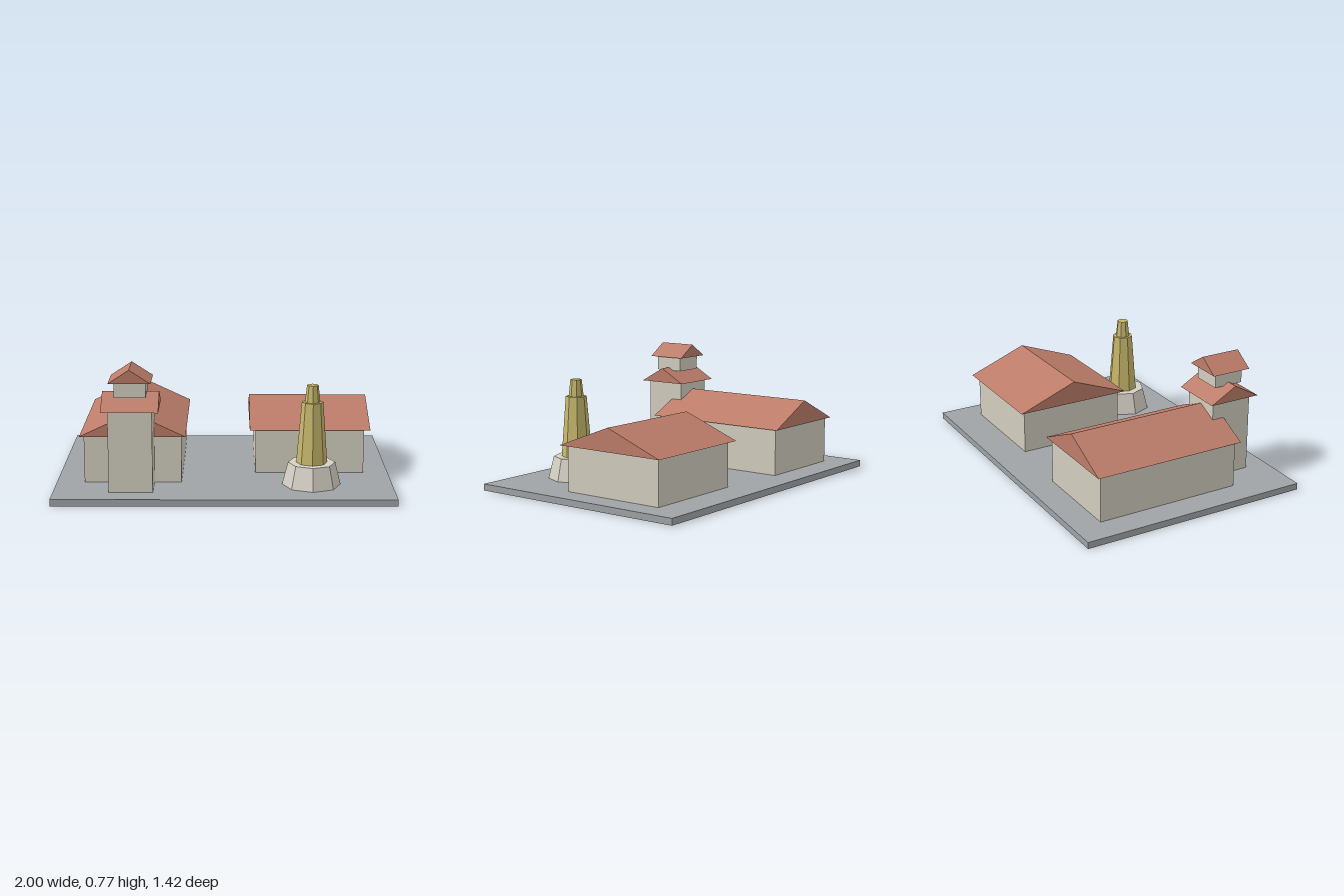
import * as THREE from 'three';

function material(name, color) {
  const m = new THREE.MeshStandardMaterial({ color, flatShading: true });
  m.name = name;
  return m;
}

export function createModel() {
  const stone = material('grey paving', 0x9fa3a6);
  const plaster = material('pale plaster', 0xd2cebf);
  const tile = material('terracotta tile', 0xbc7c69);
  const pedestalStone = material('light stone', 0xd6d1c6);
  const gold = material('old gold', 0xc8b86c);

  const model = new THREE.Group();
  model.name = 'villageSquare';

  const add = (parent, name, geometry, mat, x, y, z) => {
    const mesh = new THREE.Mesh(geometry, mat);
    mesh.name = name;
    mesh.position.set(x, y, z);
    parent.add(mesh);
    return mesh;
  };

  // Box standing on y0
  const block = (parent, name, mat, [w, d], y0, y1, x, z) =>
    add(parent, name, new THREE.BoxGeometry(w, y1 - y0, d), mat, x, (y0 + y1) / 2, z);

  // Solid gable roof with its ridge along x or z
  const gable = (parent, name, [w, d], y0, y1, x, z, ridge) => {
    const span = ridge === 'x' ? d : w;
    const length = ridge === 'x' ? w : d;
    const shape = new THREE.Shape([
      new THREE.Vector2(-span / 2, 0),
      new THREE.Vector2(span / 2, 0),
      new THREE.Vector2(0, y1 - y0),
    ]);
    const geometry = new THREE.ExtrudeGeometry(shape, { depth: length, bevelEnabled: false });
    geometry.translate(0, 0, -length / 2);
    if (ridge === 'x') geometry.rotateY(Math.PI / 2);
    add(parent, name, geometry, tile, x, y0, z);
  };

  // Tapered eight-sided stage standing on y0
  const stage = (parent, name, mat, rBottom, rTop, y0, y1) =>
    add(parent, name, new THREE.CylinderGeometry(rTop, rBottom, y1 - y0, 8), mat, 0, (y0 + y1) / 2, 0);

  const group = (name) => {
    const g = new THREE.Group();
    g.name = name;
    model.add(g);
    return g;
  };

  // Ground slab
  block(model, 'groundSlab', stone, [2, 1.418], 0, 0.04, 0, 0);

  // Church: nave, tower and belfry
  const church = group('church');
  const cx = -0.544;
  const towerZ = 0.44;
  block(church, 'naveWalls', plaster, [0.58, 0.9], 0.04, 0.328, cx, -0.087);
  gable(church, 'naveRoof', [0.63, 0.95], 0.326, 0.474, cx, -0.087, 'z');
  block(church, 'towerWalls', plaster, [0.257, 0.257], 0.04, 0.526, cx, towerZ);
  gable(church, 'towerRoof', [0.333, 0.325], 0.524, 0.616, cx, towerZ, 'x');
  block(church, 'belfryWalls', plaster, [0.184, 0.184], 0.596, 0.688, cx, towerZ);
  gable(church, 'belfryRoof', [0.247, 0.248], 0.686, 0.767, cx, towerZ, 'z');

  // Hall
  const hall = group('hall');
  block(hall, 'hallWalls', plaster, [0.66, 0.665], 0.04, 0.317, 0.52, -0.166);
  gable(hall, 'hallRoof', [0.73, 0.732], 0.315, 0.455, 0.52, -0.166, 'x');

  // Stepped monument on its pedestal
  const monument = group('monument');
  monument.position.set(0.519, 0, 0.395);
  stage(monument, 'pedestal', pedestalStone, 0.174, 0.14, 0.04, 0.175);
  stage(monument, 'shaft', gold, 0.092, 0.063, 0.175, 0.542);
  stage(monument, 'shaftTop', gold, 0.045, 0.034, 0.542, 0.643);

  return model;
}
